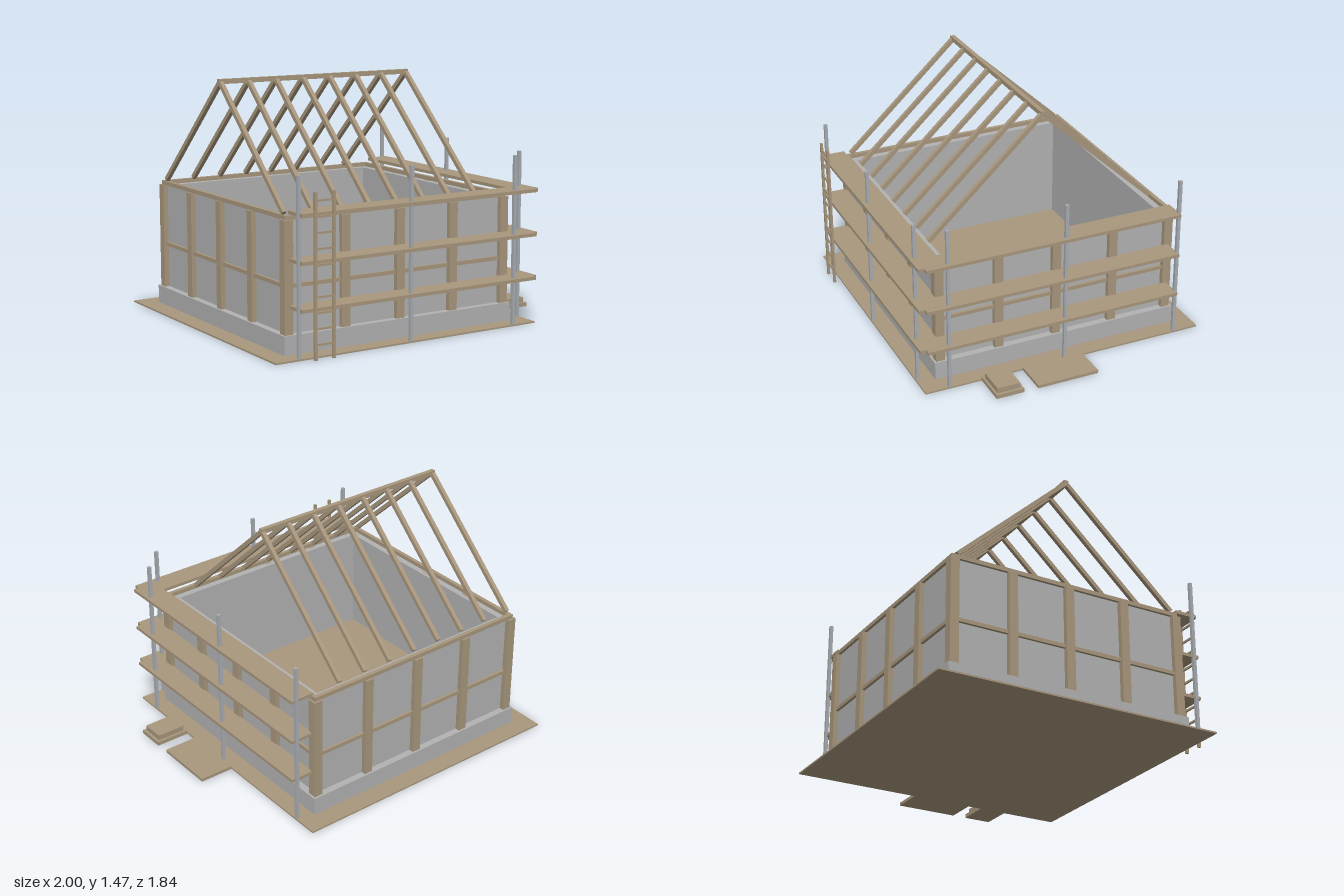
import * as THREE from 'three';

const timber = new THREE.MeshStandardMaterial({ color: 0xa8977d });
timber.name = 'timber';
const masonry = new THREE.MeshStandardMaterial({ color: 0xb2b2b2 });
masonry.name = 'masonry';
const steel = new THREE.MeshStandardMaterial({ color: 0xa9adb2 });
steel.name = 'steel';

// Centre of the house
const CX = -0.105, CZ = -0.02;

export function createModel() {
  const model = new THREE.Group();
  model.name = 'houseUnderConstruction';

  // Box given by its limits on each axis
  function box(name, mat, x0, x1, y0, y1, z0, z1) {
    const mesh = new THREE.Mesh(new THREE.BoxGeometry(x1 - x0, y1 - y0, z1 - z0), mat);
    mesh.position.set((x0 + x1) / 2, (y0 + y1) / 2, (z0 + z1) / 2);
    mesh.name = name;
    model.add(mesh);
    return mesh;
  }

  // Square frame around the house centre, as one extrusion with a hole
  function ring(name, mat, inner, outer, y0, y1) {
    const square = (P, h) => new P([[-h, -h], [h, -h], [h, h], [-h, h]].map(p => new THREE.Vector2(...p)));
    const shape = square(THREE.Shape, outer);
    shape.holes.push(square(THREE.Path, inner));
    const geo = new THREE.ExtrudeGeometry(shape, { depth: y1 - y0, bevelEnabled: false });
    geo.rotateX(-Math.PI / 2);
    const mesh = new THREE.Mesh(geo, mat);
    mesh.position.set(CX, y0, CZ);
    mesh.name = name;
    model.add(mesh);
  }

  // Ground, foundation, floor and walls
  box('ground', timber, -1, 0.782, 0, 0.01, -0.92, 0.865);
  ring('foundation', masonry, 0.69, 0.78, 0.004, 0.12);
  box('floor', timber, CX - 0.69, CX + 0.69, 0.09, 0.115, CZ - 0.69, CZ + 0.69);
  ring('walls', masonry, 0.69, 0.738, 0.12, 0.76);

  // Timber frame: rails, plate and posts
  ring('middleRail', timber, 0.732, 0.755, 0.38, 0.403);
  ring('topPlate', timber, 0.73, 0.755, 0.76, 0.785);
  const P = 0.0275;
  for (let i = -2; i <= 2; i++) {
    for (let j = -2; j <= 2; j++) {
      if (Math.abs(i) < 2 && Math.abs(j) < 2) continue;
      const x = CX + i * 0.37, z = CZ + j * 0.37;
      box('wallPost', timber, x - P, x + P, 0.12, 0.76, z - P, z + P);
    }
  }

  // Roof: ridge beam and pairs of rafters
  box('ridgeBeam', timber, -0.858, 0.457, 1.442, 1.47, CZ - 0.014, CZ + 0.014);
  const run = 0.715, rise = 0.66;
  for (let i = 0; i < 8; i++) {
    const x = -0.845 + i * 0.1845;
    for (const side of [-1, 1]) {
      const rafter = new THREE.Mesh(new THREE.BoxGeometry(0.025, 0.026, Math.hypot(run, rise)), timber);
      rafter.position.set(x, 0.793 + rise / 2, CZ + side * run / 2);
      rafter.rotation.x = side * Math.atan2(rise, run);
      rafter.name = 'rafter';
      model.add(rafter);
    }
  }

  // Scaffold: three levels of decks on two sides
  for (const y of [0.268, 0.531, 0.795]) {
    box('frontDeck', timber, -0.845, 0.77, y, y + 0.02, 0.74, 0.886);
    box('sideDeck', timber, 0.656, 0.802, y, y + 0.019, -0.76, 0.85);
  }
  const poles = [[-0.845, 0.852], [-0.107, 0.852], [0.627, 0.852], [0.77, 0.71], [0.77, -0.024], [0.77, -0.76]];
  for (const [x, z] of poles) {
    box('scaffoldPole', steel, x - 0.01, x + 0.01, 0.008, 1.02, z - 0.01, z + 0.01);
  }

  // Ladder
  for (const x of [-0.774, -0.657]) {
    box('ladderRail', timber, x - 0.008, x + 0.008, 0.002, 0.932, 0.9, 0.916);
  }
  for (let i = 1; i <= 10; i++) {
    const y = i * 0.0885;
    box('ladderRung', timber, -0.77, -0.66, y - 0.006, y + 0.006, 0.903, 0.913);
  }

  // Boards stacked beside the house
  box('looseBoards', timber, 0.785, 1, 0.006, 0.025, -0.13, 0.256);
  box('lowerStack', timber, 0.785, 1, 0.006, 0.03, 0.345, 0.518);
  box('upperStack', timber, 0.803, 0.982, 0.03, 0.063, 0.362, 0.505);

  return model;
}
